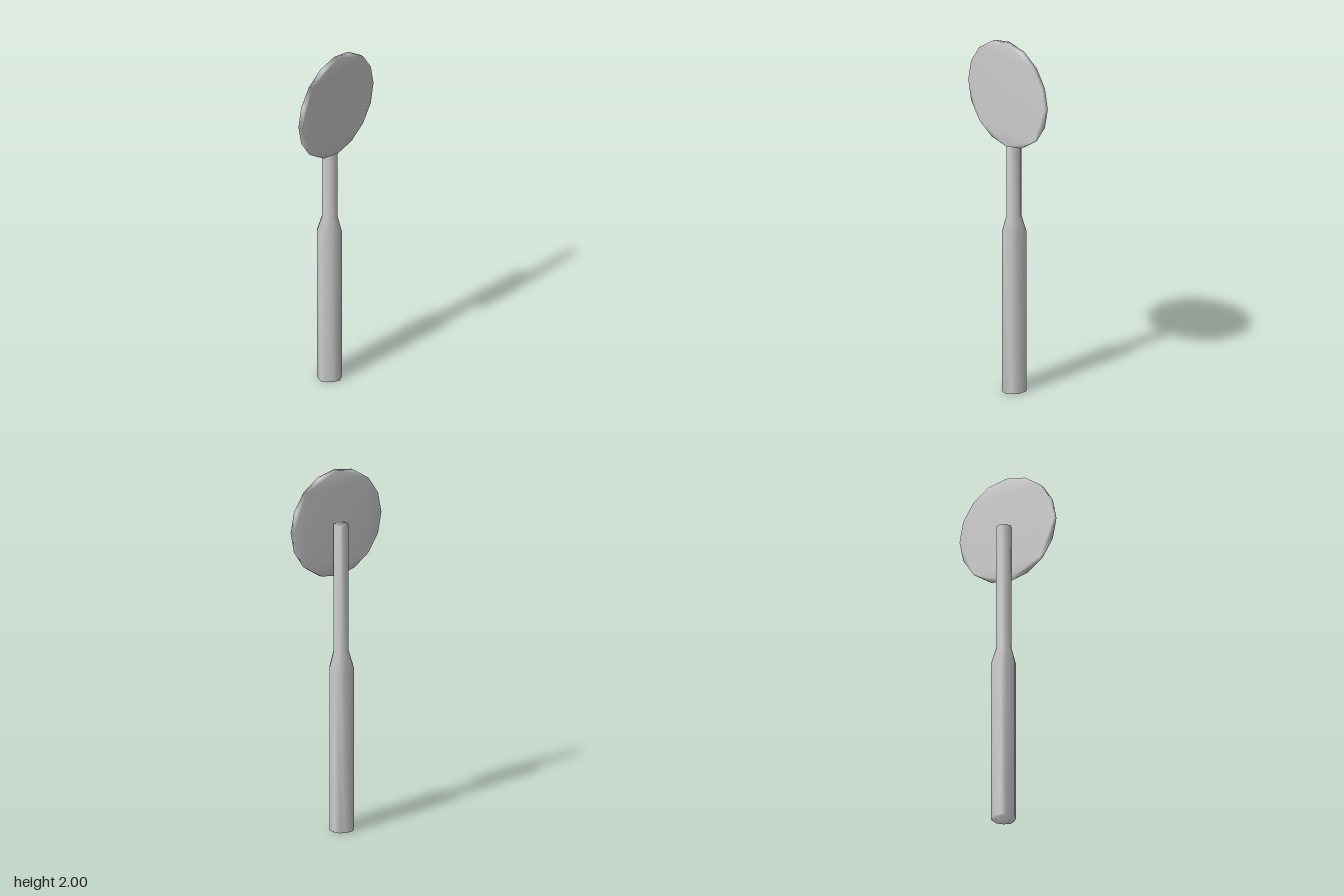
import * as THREE from 'three';
import { mergeVertices } from 'three/addons/utils/BufferGeometryUtils.js';

const material = new THREE.MeshStandardMaterial({ color: 0xcccccc });

// Prism with normals shared across all edges for soft low-poly shading
function prism(points, depth, steps) {
  const shape = new THREE.Shape(points.map(([x, y]) => new THREE.Vector2(x, y)));
  const geometry = new THREE.ExtrudeGeometry(shape, { depth, steps, bevelEnabled: false });
  geometry.deleteAttribute('normal');
  geometry.deleteAttribute('uv');
  return mergeVertices(geometry);
}

function addPart(group, name, geometry) {
  geometry.computeVertexNormals();
  const mesh = new THREE.Mesh(geometry, material);
  mesh.name = name;
  group.add(mesh);
  return mesh;
}

export function createModel() {
  const group = new THREE.Group();
  group.name = 'paddle';

  // Handle: irregular rounded section (x, z), thick grip tapering to a thin shaft
  const section = [
    [-0.025, -0.07], [0.024, -0.07], [0.047, -0.053], [0.061, -0.032], [0.061, 0.018], [0.037, 0.048],
    [0, 0.065], [-0.037, 0.048], [-0.059, 0.024], [-0.071, -0.005], [-0.05, -0.052],
  ];
  const levels = [[0, 1], [0.905, 1], [1, 0.61], [1.705, 0.61]]; // height, scale
  const handle = prism(section.map(([x, z]) => [x, -z]), 3, 3);
  handle.rotateX(-Math.PI / 2);
  const pos = handle.attributes.position;
  for (let i = 0; i < pos.count; i++) {
    const [y, s] = levels[Math.round(pos.getY(i))];
    pos.setXYZ(i, pos.getX(i) * s, y, pos.getZ(i) * s);
  }
  addPart(group, 'handle', handle);

  // Thin sixteen-sided disc fixed to the front of the shaft
  const rim = Array.from({ length: 16 }, (_, i) => {
    const a = (i / 16) * Math.PI * 2;
    return [0.298 * Math.cos(a), 0.296 * Math.sin(a)];
  });
  const disc = addPart(group, 'disc', prism(rim, 0.024, 1));
  disc.position.set(0, 1.704, 0.026);

  return group;
}
